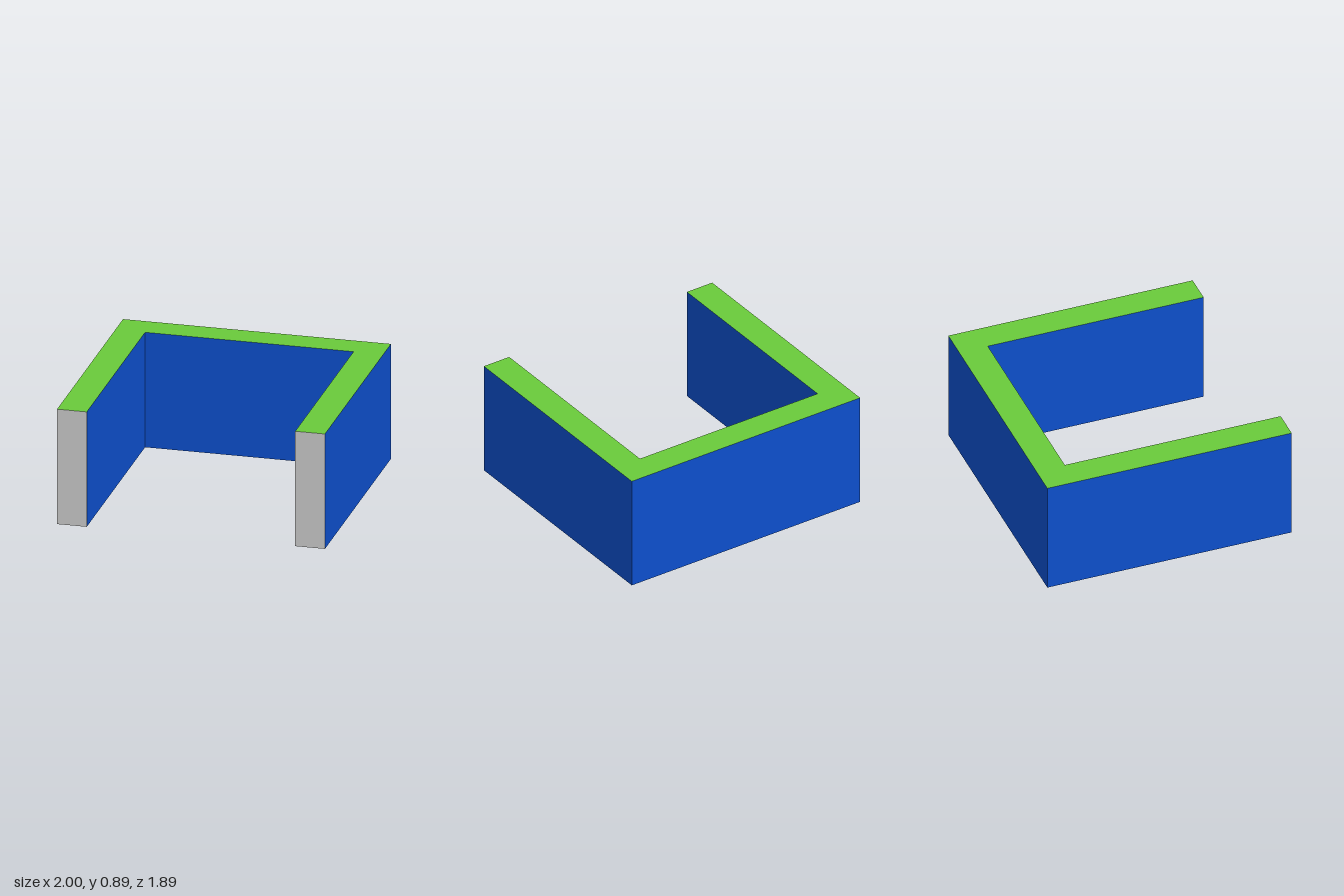
import * as THREE from 'three';

const HEIGHT = 0.888;
// Plan outline of the U as [x, z], solid kept on the left-hand side seen from above
const OUTLINE = [
  [-1, 0.945], [-0.778, 0.945], [-0.778, -0.725], [0.778, -0.725],
  [0.778, 0.945], [1, 0.945], [1, -0.945], [-1, -0.945],
];
const NAMES = ['rightEnd', 'innerRightWall', 'innerBackWall', 'innerLeftWall',
  'leftEnd', 'outerLeftWall', 'outerBackWall', 'outerRightWall'];

function material(name, color) {
  const m = new THREE.MeshStandardMaterial({ color, side: THREE.DoubleSide });
  m.name = name;
  return m;
}

// Upright sheet between two plan points, facing outward
function wall(name, [ax, az], [bx, bz], mat) {
  const dx = bx - ax, dz = bz - az;
  const mesh = new THREE.Mesh(new THREE.PlaneGeometry(Math.hypot(dx, dz), HEIGHT), mat);
  mesh.position.set((ax + bx) / 2, HEIGHT / 2, (az + bz) / 2);
  mesh.rotation.y = Math.atan2(-dz, dx);
  mesh.name = name;
  return mesh;
}

export function createModel() {
  const group = new THREE.Group();
  group.name = 'uShapedWall';
  const blue = material('wall blue', 0x0d4fcc);
  const green = material('top green', 0x69ca3a);
  const grey = material('end grey', 0xc9c9c9);

  // Walls and end caps; the underside stays open
  OUTLINE.forEach((p, i) => {
    const next = OUTLINE[(i + 1) % OUTLINE.length];
    group.add(wall(NAMES[i], p, next, NAMES[i].endsWith('End') ? grey : blue));
  });

  // Flat top
  const shape = new THREE.Shape(OUTLINE.map(([x, z]) => new THREE.Vector2(x, -z)));
  const top = new THREE.Mesh(new THREE.ShapeGeometry(shape).rotateX(-Math.PI / 2), green);
  top.position.y = HEIGHT;
  top.name = 'top';
  group.add(top);

  return group;
}
